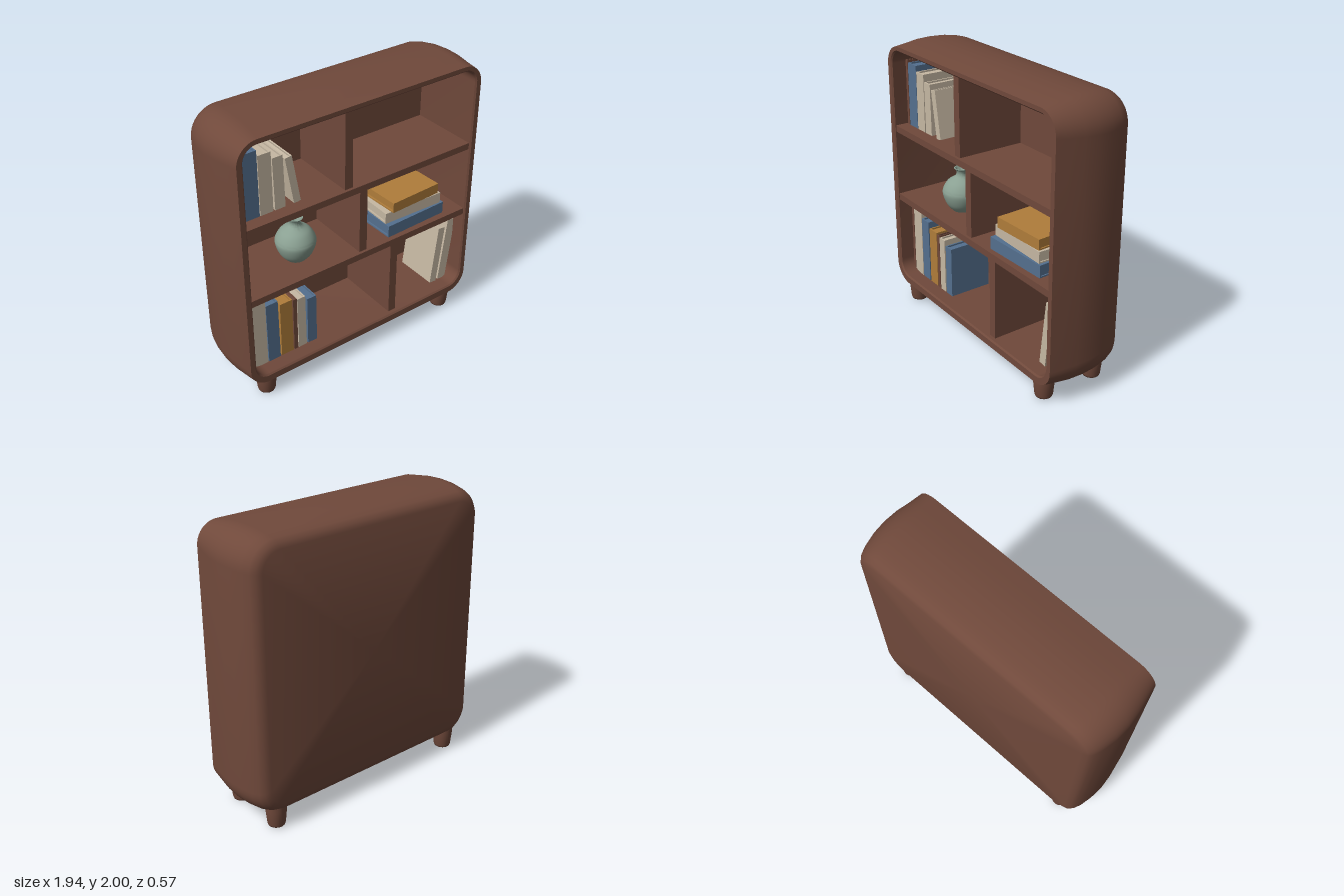
import * as THREE from 'three';
import { toCreasedNormals } from 'three/addons/utils/BufferGeometryUtils.js';

const mat = (name, color) => {
  const m = new THREE.MeshStandardMaterial({ color });
  m.name = name;
  return m;
};

// Counter-clockwise outline of a rounded rectangle at depth z
function roundedLoop([z, hx, y0, y1, r], steps = 10) {
  const corners = [[hx - r, y0 + r, -1], [hx - r, y1 - r, 0], [r - hx, y1 - r, 1], [r - hx, y0 + r, 2]];
  const pts = [];
  for (const [cx, cy, q] of corners) {
    for (let i = 0; i <= steps; i++) {
      const a = (q + i / steps) * Math.PI / 2;
      pts.push([cx + r * Math.cos(a), cy + r * Math.sin(a), z]);
    }
  }
  return pts;
}

// Skin through the loops, closed by a fan at each end
function loftGeometry(sections) {
  const loops = sections.map(s => roundedLoop(s));
  const n = loops[0].length, last = loops.length - 1;
  const pos = loops.flat(2), index = [];
  for (let i = 0; i < last; i++) {
    for (let j = 0; j < n; j++) {
      const k = (j + 1) % n;
      const a = i * n + j, b = i * n + k, c = a + n, d = b + n;
      index.push(a, c, d, a, d, b);
    }
  }
  const first = loops.length * n;
  pos.push(0, 1.05, sections[0][0], 0, 1.05, sections[last][0]);
  for (let j = 0; j < n; j++) {
    const k = (j + 1) % n;
    index.push(first, j, k, first + 1, last * n + k, last * n + j);
  }
  const g = new THREE.BufferGeometry();
  g.setAttribute('position', new THREE.Float32BufferAttribute(pos, 3));
  g.setIndex(index);
  return toCreasedNormals(g, 0.65);
}

export function createModel() {
  const wood = mat('walnut wood', 0x70493b);
  const blue = mat('blue cover', 0x54708f);
  const cream = mat('cream cover', 0xc6b8a3);
  const mustard = mat('mustard cover', 0xb07d3a);
  const sage = mat('sage glaze', 0x8aa092);

  const model = new THREE.Group();
  model.name = 'bookcase';

  const add = (parent, name, geometry, material, x = 0, y = 0, z = 0) => {
    const m = new THREE.Mesh(geometry, material);
    m.name = name;
    m.position.set(x, y, z);
    parent.add(m);
    return m;
  };
  const box = (parent, name, material, x0, x1, y0, y1, z0, z1) =>
    add(parent, name, new THREE.BoxGeometry(x1 - x0, y1 - y0, z1 - z0), material,
      (x0 + x1) / 2, (y0 + y1) / 2, (z0 + z1) / 2);

  // Barrel-sided cabinet: cavity, front rim, bulging outside, softened back
  // Each row: z, half width, bottom, top, corner radius
  add(model, 'cabinetShell', loftGeometry([
    [-0.24, 0.885, 0.2, 1.93, 0.1],
    [0.275, 0.885, 0.2, 1.93, 0.1],
    [0.285, 0.895, 0.19, 1.94, 0.11],
    [0.285, 0.93, 0.142, 1.968, 0.145],
    [0.2, 0.945, 0.122, 1.982, 0.17],
    [0.1, 0.964, 0.108, 1.996, 0.19],
    [0, 0.972, 0.104, 2, 0.2],
    [-0.1, 0.965, 0.107, 1.996, 0.2],
    [-0.19, 0.946, 0.118, 1.982, 0.19],
    [-0.245, 0.925, 0.135, 1.967, 0.18],
    [-0.275, 0.9, 0.16, 1.945, 0.16],
    [-0.288, 0.86, 0.2, 1.91, 0.13],
  ]), wood);

  // Shelves and staggered dividers
  box(model, 'upperShelf', wood, -0.888, 0.888, 1.328, 1.375, -0.25, 0.27);
  box(model, 'lowerShelf', wood, -0.888, 0.888, 0.797, 0.845, -0.25, 0.27);
  box(model, 'upperDivider', wood, -0.15, -0.09, 1.37, 1.935, -0.25, 0.25);
  box(model, 'middleDivider', wood, -0.03, 0.03, 0.84, 1.33, -0.25, 0.25);
  box(model, 'lowerDivider', wood, 0.24, 0.3, 0.195, 0.8, -0.25, 0.25);

  // Short tapered feet
  const footProfile = [[0, 0], [0.045, 0], [0.056, 0.006], [0.061, 0.02], [0.072, 0.13], [0.074, 0.2]]
    .map(p => new THREE.Vector2(...p));
  const footGeometry = toCreasedNormals(new THREE.LatheGeometry(footProfile, 28), 0.8);
  for (const x of [-0.77, 0.77]) {
    for (const z of [-0.2, 0.2]) add(model, 'foot', footGeometry, wood, x, 0, z);
  }

  // A book on its base at the origin: spine forward, boards, recessed page block
  function book(name, material, w, h, d) {
    const g = new THREE.Group();
    g.name = name;
    const t = Math.min(0.01, w * 0.2);
    box(g, 'leftBoard', material, -w / 2, -w / 2 + t, 0, h, -d / 2, d / 2);
    box(g, 'rightBoard', material, w / 2 - t, w / 2, 0, h, -d / 2, d / 2);
    box(g, 'spine', material, -w / 2 + t, w / 2 - t, 0, h, d / 2 - t, d / 2);
    box(g, 'pageBlock', material, -w / 2 + t, w / 2 - t, 0.008, h - 0.012, -d / 2 + 0.01, d / 2 - t);
    model.add(g);
    return g;
  }

  // Standing books: colour, centre x of base, base y, width, height, lean
  const standing = [
    [wood, -0.857, 1.375, 0.026, 0.47, 0],
    [blue, -0.787, 1.375, 0.105, 0.455, 0],
    [cream, -0.684, 1.375, 0.092, 0.415, 0],
    [cream, -0.587, 1.375, 0.075, 0.365, 0.02],
    [cream, -0.462, 1.375, 0.05, 0.34, 0.165],
    [wood, -0.857, 0.2, 0.026, 0.53, 0],
    [cream, -0.787, 0.2, 0.105, 0.535, 0],
    [blue, -0.681, 0.2, 0.092, 0.475, 0.01],
    [mustard, -0.577, 0.2, 0.095, 0.435, 0],
    [wood, -0.507, 0.2, 0.03, 0.425, 0],
    [cream, -0.453, 0.2, 0.064, 0.415, 0.01],
    [blue, -0.373, 0.2, 0.073, 0.38, 0],
    [cream, 0.722, 0.203, 0.058, 0.468, -0.118],
    [cream, 0.803, 0.203, 0.07, 0.51, -0.125],
  ];
  for (const [m, x, y, w, h, lean] of standing) {
    const b = book('standingBook', m, w, h, 0.32);
    b.position.set(x, y, 0.02);
    b.rotation.z = lean;
  }

  // Stack of lying books: colour, centre x, base y, length, thickness, z, turn
  const stack = [
    [blue, 0.475, 0.845, 0.5, 0.088, 0.06, 0.03],
    [cream, 0.475, 0.933, 0.475, 0.08, 0.05, -0.03],
    [mustard, 0.48, 1.013, 0.41, 0.075, 0.04, 0.04],
  ];
  for (const [m, x, y, length, thick, z, turn] of stack) {
    const b = book('lyingBook', m, thick, length, 0.32);
    b.rotation.set(0, turn, Math.PI / 2, 'YXZ');
    b.position.set(x + length / 2, y + thick / 2, z);
  }

  // Round-bellied vase with a hollow neck
  const outline = new THREE.SplineCurve([
    [0.07, 0], [0.11, 0.05], [0.134, 0.115], [0.133, 0.16], [0.1, 0.215],
    [0.05, 0.25], [0.037, 0.275], [0.042, 0.3], [0.053, 0.313],
  ].map(p => new THREE.Vector2(...p))).getPoints(40);
  const vaseProfile = [new THREE.Vector2(0, 0), ...outline,
    new THREE.Vector2(0.045, 0.314), new THREE.Vector2(0.028, 0.28), new THREE.Vector2(0, 0.22)];
  add(model, 'vase', toCreasedNormals(new THREE.LatheGeometry(vaseProfile, 40), 0.8), sage, -0.395, 0.845, 0.04);

  return model;
}
